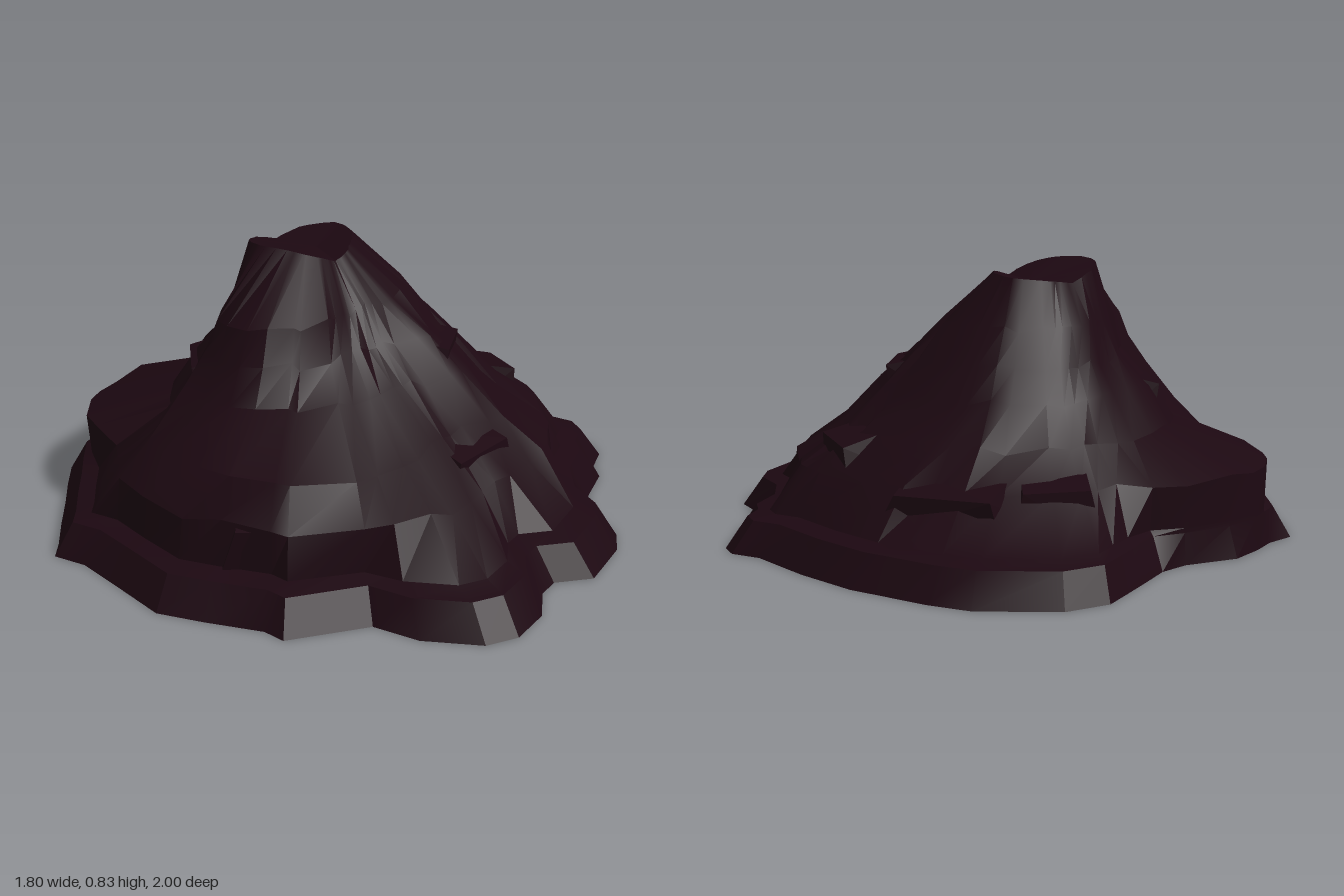
import * as THREE from 'three';
import { toCreasedNormals } from 'three/addons/utils/BufferGeometryUtils.js';
import { ConvexGeometry } from 'three/addons/geometries/ConvexGeometry.js';

const CX = -0.13; // axis of the mound

// Ground outline as x, z pairs
const OUTLINE = [
  0.9, 0.1, 0.89, 0.31, 0.79, 0.38, 0.78, 0.46, 0.82, 0.59, 0.8, 0.74, 0.73, 0.82, 0.55, 0.86,
  0.4, 0.83, 0.2, 1, 0.13, 0.97, -0.05, 0.98, -0.2, 0.98, -0.38, 0.87, -0.53, 0.78, -0.64, 0.76,
  -0.67, 0.68, -0.73, 0.55, -0.79, 0.41, -0.85, 0.28, -0.9, 0.16, -0.86, 0.06, -0.85, -0.04,
  -0.82, -0.17, -0.7, -0.3, -0.66, -0.4, -0.65, -0.55, -0.64, -0.68, -0.63, -0.8, -0.54, -0.92,
  -0.3, -1, -0.16, -0.98, 0, -0.93, 0.1, -0.9, 0.3, -0.79, 0.5, -0.65, 0.6, -0.63, 0.65, -0.57,
  0.66, -0.47, 0.7, -0.4, 0.71, -0.24, 0.77, -0.1, 0.87, 0,
];

// Contours: height, then 16 radii from +x round through +z
const CONTOURS = [
  [0.24, [0.75, 0.76, 0.85, 0.87, 0.84, 0.76, 0.63, 0.69, 0.72, 0.66, 0.57, 0.62, 0.66, 0.68, 0.72, 0.72]],
  [0.34, [0.62, 0.58, 0.67, 0.8, 0.75, 0.66, 0.46, 0.43, 0.42, 0.42, 0.45, 0.5, 0.52, 0.54, 0.58, 0.6]],
  [0.46, [0.5, 0.42, 0.44, 0.5, 0.52, 0.51, 0.37, 0.35, 0.34, 0.33, 0.37, 0.41, 0.43, 0.44, 0.47, 0.46]],
  [0.56, [0.39, 0.3, 0.31, 0.4, 0.46, 0.44, 0.29, 0.26, 0.26, 0.27, 0.31, 0.35, 0.37, 0.38, 0.38, 0.37]],
  [0.66, [0.26, 0.23, 0.25, 0.36, 0.41, 0.39, 0.26, 0.23, 0.22, 0.23, 0.26, 0.28, 0.3, 0.31, 0.3, 0.28]],
  [0.78, [0.12, 0.12, 0.13, 0.14, 0.15, 0.17, 0.19, 0.18, 0.17, 0.16, 0.18, 0.21, 0.22, 0.18, 0.14, 0.12]],
];

// Crags: bearing in degrees, distance from the axis, height, then width, height and depth
const CRAGS = [
  [-12, 0.35, 0.45, 0.24, 0.2, 0.18],
  [-43, 0.55, 0.26, 0.24, 0.2, 0.22],
  [18, 0.56, 0.25, 0.28, 0.18, 0.24],
  [152, 0.29, 0.38, 0.2, 0.2, 0.14],
  [70, 0.73, 0.16, 0.42, 0.22, 0.22],
  [245, 0.56, 0.2, 0.24, 0.16, 0.18],
  [273, 0.62, 0.19, 0.36, 0.14, 0.18],
];

function random(seed) {
  let s = seed;
  return () => (s = (s * 16807) % 2147483647) / 2147483647;
}

// Radius of a contour at an angle, blended between its neighbours
function radiusAt(radii, angle) {
  const t = ((angle / (Math.PI * 2) + 1) % 1) * 16;
  const i = Math.floor(t) % 16;
  return THREE.MathUtils.lerp(radii[i], radii[(i + 1) % 16], t - Math.floor(t));
}

function moundGeometry() {
  const rnd = random(71);
  const n = OUTLINE.length / 2;
  const rings = CONTOURS.length + 3;
  const pos = [], index = [];
  const spokes = Array.from({ length: n }, (_, i) => {
    const x = OUTLINE[i * 2] - CX, z = OUTLINE[i * 2 + 1];
    return { a: Math.atan2(z, x), r: Math.hypot(x, z) };
  });
  const put = (a, r, y) => pos.push(CX + Math.cos(a) * r, y, Math.sin(a) * r);

  // Skirt and ledge around the foot
  for (const { a, r } of spokes) put(a, r, 0);
  for (const { a, r } of spokes) put(a, Math.max(r * 0.93, radiusAt(CONTOURS[0][1], a)), 0.095);
  for (const { a, r } of spokes) put(a, Math.max(r * 0.86, radiusAt(CONTOURS[0][1], a)), 0.11);
  // Rough slopes, ending in a saddle-shaped summit
  CONTOURS.forEach(([y, radii], k) => {
    const summit = k === CONTOURS.length - 1;
    for (const { a } of spokes) {
      const ridge = Math.sin(a - 0.5);
      const lift = summit ? (ridge > 0 ? 0.055 : -0.03) * ridge : (rnd() - 0.5) * 0.03;
      put(a, radiusAt(radii, a) * (1 + (rnd() - 0.5) * 0.04), y + lift);
    }
  });
  for (let k = 0; k < rings - 1; k++) {
    for (let i = 0; i < n; i++) {
      const a = k * n + i, b = k * n + (i + 1) % n;
      index.push(a, a + n, b, b, a + n, b + n);
    }
  }
  // Summit and underside
  const top = pos.length / 3;
  pos.push(CX, 0.78, -0.05, CX, 0, 0);
  for (let i = 0; i < n; i++) {
    const j = (i + 1) % n, last = (rings - 1) * n;
    index.push(last + i, top, last + j, i, j, top + 1);
  }
  const g = new THREE.BufferGeometry();
  g.setAttribute('position', new THREE.Float32BufferAttribute(pos, 3));
  g.setIndex(index);
  return toCreasedNormals(g, 0.45);
}

// Chipped block, narrower at the top
function cragGeometry(w, h, d, rnd) {
  const points = [];
  for (const x of [-1, 1]) for (const y of [-1, 1]) for (const z of [-1, 1]) {
    const s = (y > 0 ? 0.42 : 0.55) * (0.9 + rnd() * 0.2);
    points.push(new THREE.Vector3(x * w * s, y * h * (0.42 + rnd() * 0.08), z * d * s));
  }
  return new ConvexGeometry(points);
}

export function createModel() {
  const group = new THREE.Group();
  group.name = 'rockMound';
  const rock = new THREE.MeshStandardMaterial({ color: 0x1c0811 });

  const mound = new THREE.Mesh(moundGeometry(), rock);
  mound.name = 'mound';
  group.add(mound);

  // Crags face outward and lean with the slope
  const rnd = random(29);
  const crags = new THREE.Group();
  crags.name = 'crags';
  for (const [bearing, r, y, w, h, d] of CRAGS) {
    const a = THREE.MathUtils.degToRad(bearing);
    const crag = new THREE.Mesh(cragGeometry(w, h, d, rnd), rock);
    crag.name = 'crag';
    crag.position.set(CX + Math.cos(a) * r, y, Math.sin(a) * r);
    crag.rotation.set(0.25, Math.PI / 2 - a, 0, 'YXZ');
    crags.add(crag);
  }
  group.add(crags);
  return group;
}
